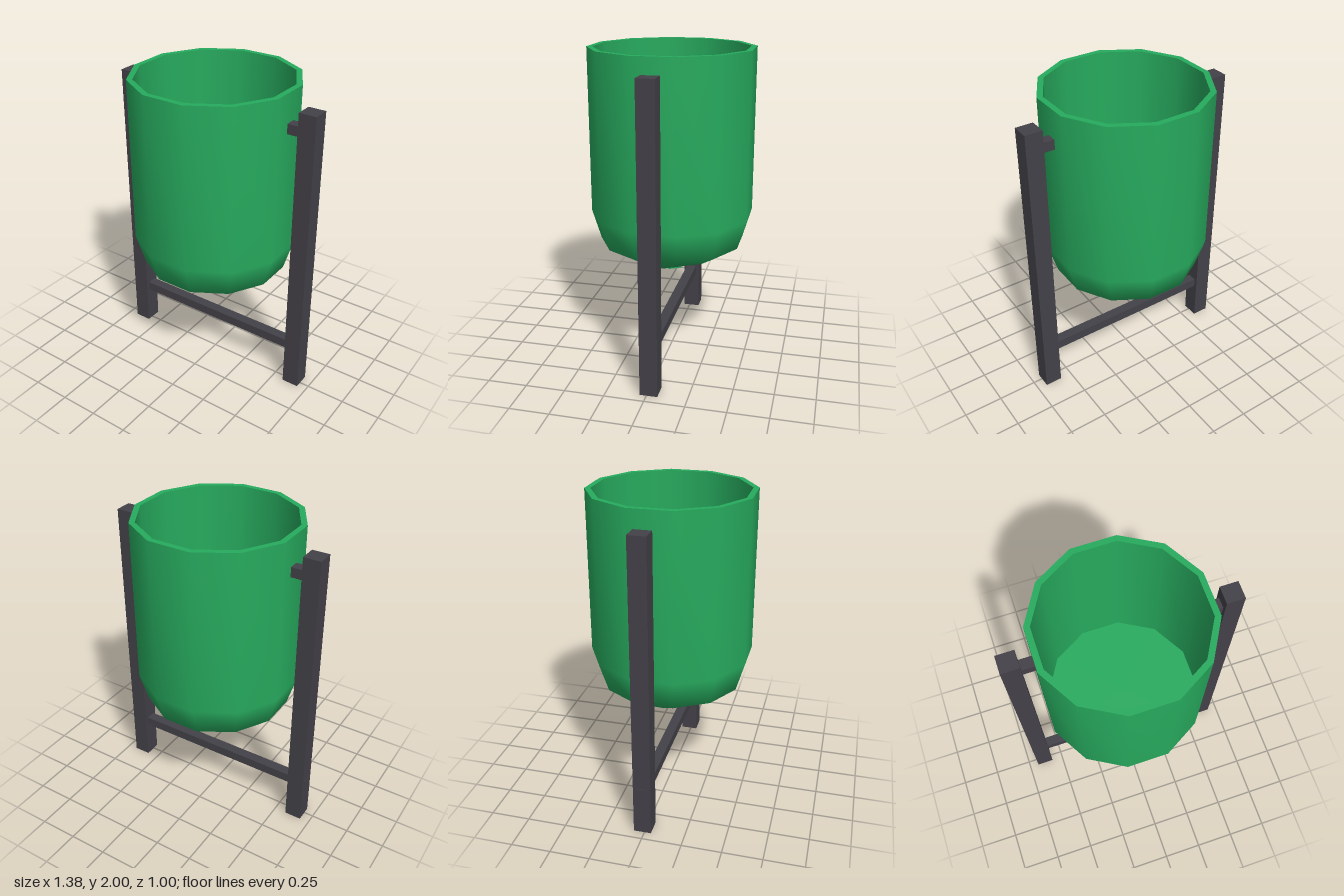
import * as THREE from 'three';

export function createModel() {
  const model = new THREE.Group();
  const green = new THREE.MeshStandardMaterial({ color: 0x27ab5e, side: THREE.DoubleSide });
  green.name = 'green plastic';
  const dark = new THREE.MeshStandardMaterial({ color: 0x434148 });
  dark.name = 'dark frame';

  const add = (name, geometry, material, x = 0, y = 0, z = 0) => {
    const mesh = new THREE.Mesh(geometry, material);
    mesh.name = name;
    mesh.position.set(x, y, z);
    model.add(mesh);
    return mesh;
  };

  // Twelve-sided radius from the distance to a flat side
  const radius = (flat) => flat / Math.cos(Math.PI / 12);
  const START = Math.PI / 12;

  // Outer shell: twelve-sided wall that closes into a six-sided base
  const pos = [], idx = [];
  const ring = (n, r, y, offset) => {
    const first = pos.length / 3;
    for (let i = 0; i < n; i++) {
      const a = offset + (i * 2 * Math.PI) / n;
      pos.push(r * Math.cos(a), y, r * Math.sin(a));
    }
    return (i) => first + (i % n);
  };
  const stitch = (up, lo, n) => {
    for (let i = 0; i < n; i++) {
      idx.push(lo(i), up(i), up(i + 1), lo(i), up(i + 1), lo(i + 1));
    }
  };
  const top = ring(12, radius(0.5), 2, -START);
  const shoulder = ring(12, radius(0.5), 0.96, -START);
  const belly = ring(12, radius(0.445), 0.77, -START);
  const base = ring(6, 0.258, 0.65, 0);
  const tip = ring(6, 0.075, 0.59, 0);
  stitch(top, shoulder, 12);
  stitch(shoulder, belly, 12);
  for (let m = 0; m < 6; m++) {
    const a = belly(2 * m), b = belly(2 * m + 1), c = belly(2 * m + 2);
    idx.push(base(m), a, b, base(m), b, c, base(m), c, base(m + 1));
  }
  stitch(base, tip, 6);
  const shell = new THREE.BufferGeometry();
  shell.setAttribute('position', new THREE.Float32BufferAttribute(pos, 3));
  shell.setIndex(idx);
  shell.computeVertexNormals();
  add('binShell', shell, green);

  // Rim, inner wall and floor
  const inner = radius(0.465), floorY = 0.96;
  add('binRim', new THREE.RingGeometry(inner, radius(0.5), 12, 1, START).rotateX(-Math.PI / 2), green, 0, 2);
  add('binInnerWall', new THREE.CylinderGeometry(inner, inner, 2 - floorY, 12, 1, true, START), green, 0, (2 + floorY) / 2);
  add('binFloor', new THREE.CircleGeometry(inner, 12, START).rotateX(-Math.PI / 2), green, 0, floorY);

  // Drain stub under the bin
  add('drainStub', new THREE.CylinderGeometry(0.075, 0.075, 0.03, 6, 1, false, Math.PI / 2), green, 0, 0.585);

  // Frame: posts, pivots and cross bar, set slightly behind the centre
  const frameZ = -0.013;
  for (const [side, s] of [['left', 1], ['right', -1]]) {
    add(side + 'Post', new THREE.BoxGeometry(0.11, 1.91, 0.11), dark, s * 0.633, 0.955, frameZ);
    add(side + 'Pivot', new THREE.BoxGeometry(0.12, 0.062, 0.065), dark, s * 0.55, 1.789, frameZ);
  }
  add('crossBar', new THREE.BoxGeometry(1.29, 0.062, 0.065), dark, -0.047, 0.29, frameZ);

  return model;
}
